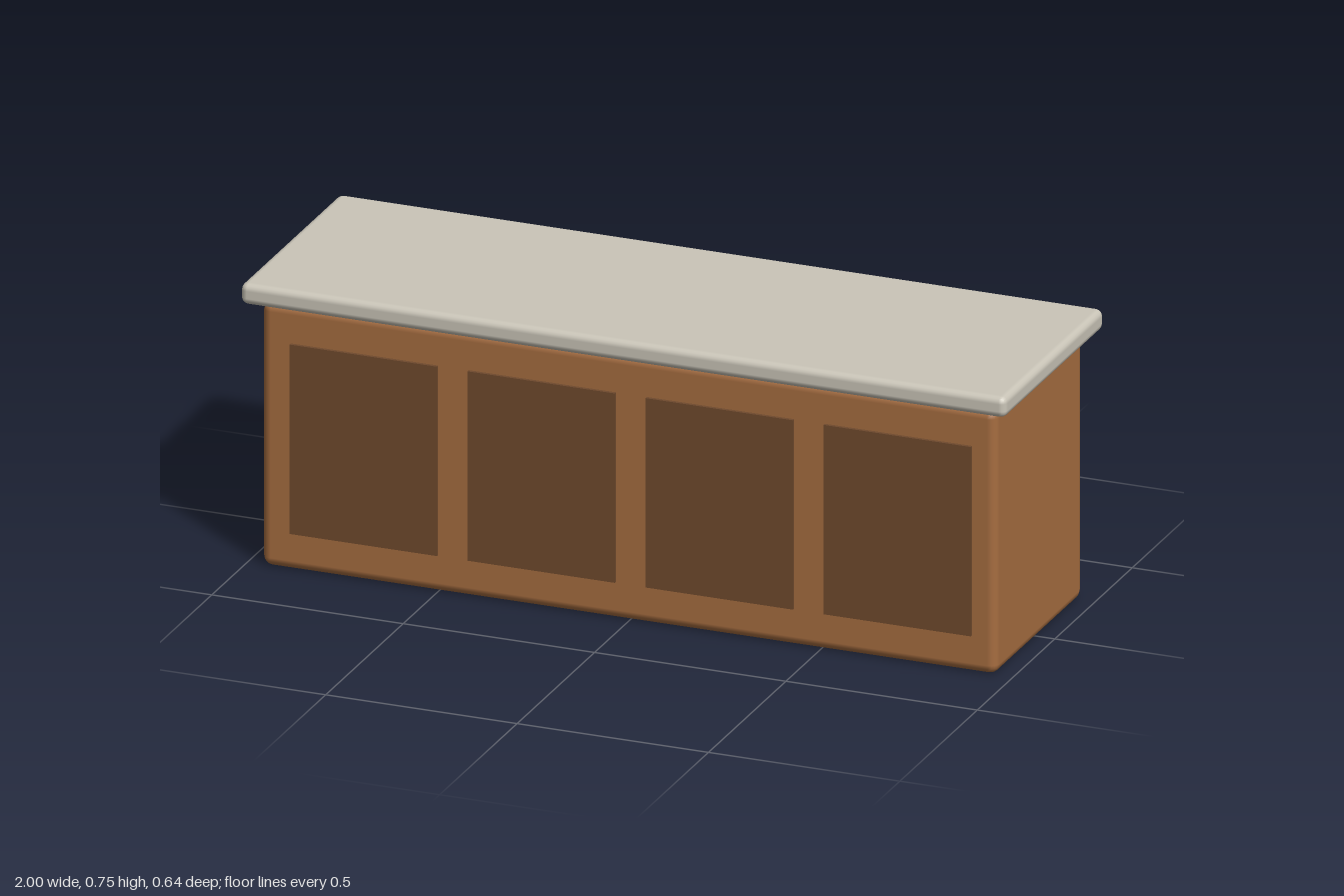
import * as THREE from 'three';
import { RoundedBoxGeometry } from 'three/addons/geometries/RoundedBoxGeometry.js';

export function createModel() {
  const group = new THREE.Group();
  group.name = 'counter';

  const material = (name, color) => {
    const m = new THREE.MeshStandardMaterial({ color });
    m.name = name;
    return m;
  };
  const wood = material('wood', 0xa66d40);
  const darkWood = material('darkWood', 0x704a2d);
  const stone = material('stone', 0xcac5b8);

  const add = (name, geometry, mat, x, y, z) => {
    const mesh = new THREE.Mesh(geometry, mat);
    mesh.name = name;
    mesh.position.set(x, y, z);
    group.add(mesh);
  };

  // Cabinet body with softened edges
  add('cabinet', new RoundedBoxGeometry(1.92, 0.69, 0.56, 2, 0.024), wood, 0, 0.345, 0);

  // Overhanging worktop
  add('worktop', new RoundedBoxGeometry(2, 0.055, 0.64, 2, 0.018), stone, 0, 0.7175, 0);

  // Four thin door panels on the front
  const panel = new THREE.BoxGeometry(0.385, 0.494, 0.009);
  for (let i = 0; i < 4; i++) {
    add('doorPanel' + (i + 1), panel, darkWood, -0.69 + i * 0.465, 0.345, 0.2838);
  }

  return group;
}
